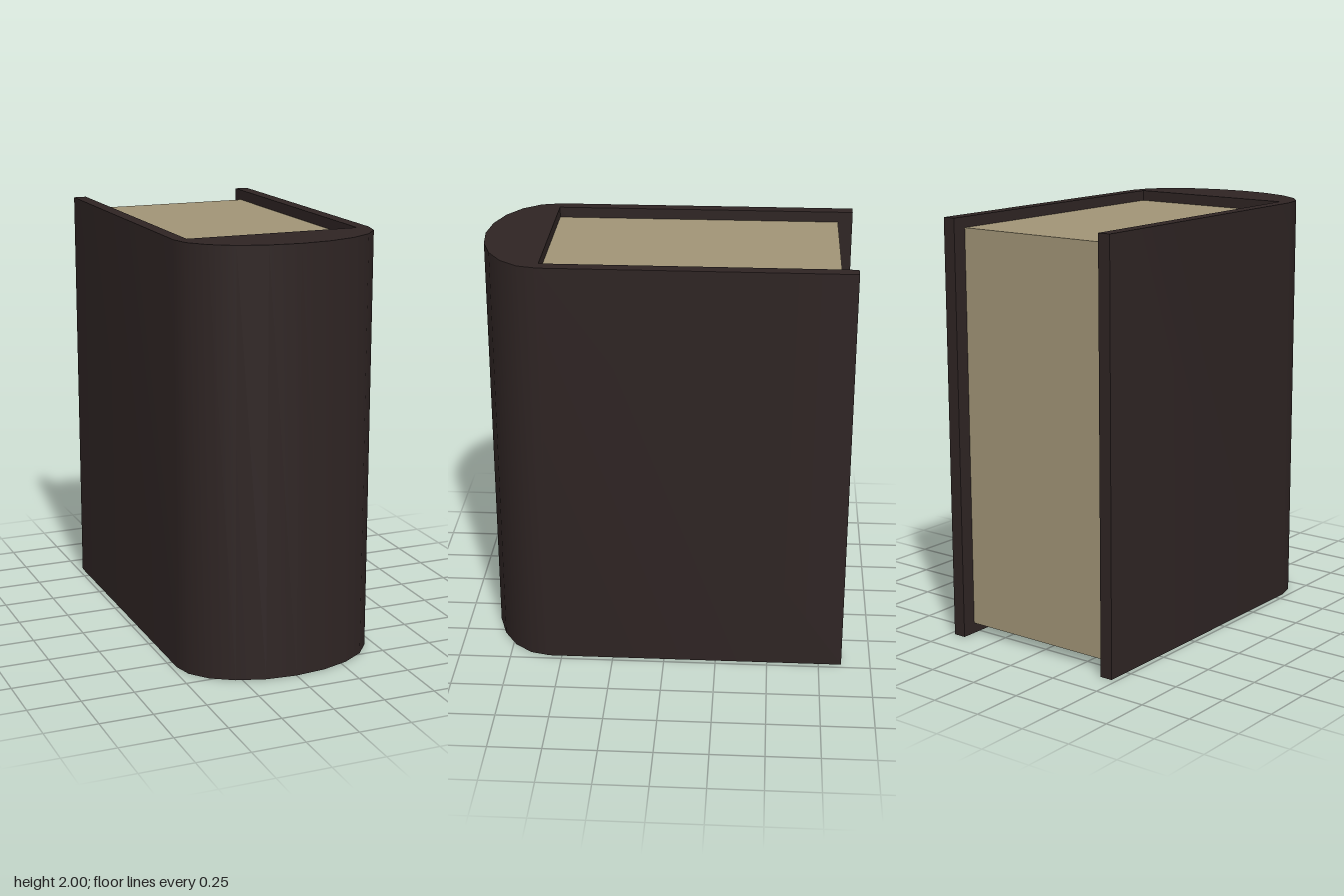
import * as THREE from 'three';
import { toCreasedNormals } from 'three/addons/utils/BufferGeometryUtils.js';

const HEIGHT = 2, HALF_W = 0.475, INNER_W = 0.413;
const BACK = -0.86, SPINE_Z = 0.56, SPINE_DEPTH = 0.3;
const PAGE_BACK = -0.79, PAGE_INSET = 0.05;

export function createModel() {
  const leather = new THREE.MeshStandardMaterial({ color: 0x2e2423 });
  leather.name = 'dark leather';
  const paper = new THREE.MeshStandardMaterial({ color: 0xa09476 });
  paper.name = 'aged paper';

  const book = new THREE.Group();
  book.name = 'book';

  // Cover: one U-shaped outline with a half-elliptical spine (shape y = -z)
  const outline = new THREE.Shape();
  outline.moveTo(-HALF_W, -BACK);
  const steps = 10;
  for (let i = 0; i <= steps; i++) {
    const a = Math.PI * (1 - i / steps);
    outline.lineTo(HALF_W * Math.cos(a), -SPINE_Z - SPINE_DEPTH * Math.sin(a));
  }
  outline.lineTo(HALF_W, -BACK);
  outline.lineTo(INNER_W, -BACK);
  outline.lineTo(INNER_W, -SPINE_Z);
  outline.lineTo(-INNER_W, -SPINE_Z);
  outline.lineTo(-INNER_W, -BACK);
  outline.closePath();

  const coverGeometry = new THREE.ExtrudeGeometry(outline, { depth: HEIGHT, bevelEnabled: false });
  coverGeometry.rotateX(-Math.PI / 2);
  const cover = new THREE.Mesh(toCreasedNormals(coverGeometry, Math.PI / 4), leather);
  cover.name = 'cover';
  book.add(cover);

  // Page block, set in from the top, bottom and open edge of the cover
  const pages = new THREE.Mesh(
    new THREE.BoxGeometry(2 * INNER_W, HEIGHT - 2 * PAGE_INSET, SPINE_Z - PAGE_BACK), paper);
  pages.name = 'pages';
  pages.position.set(0, HEIGHT / 2, (SPINE_Z + PAGE_BACK) / 2);
  book.add(pages);

  return book;
}
